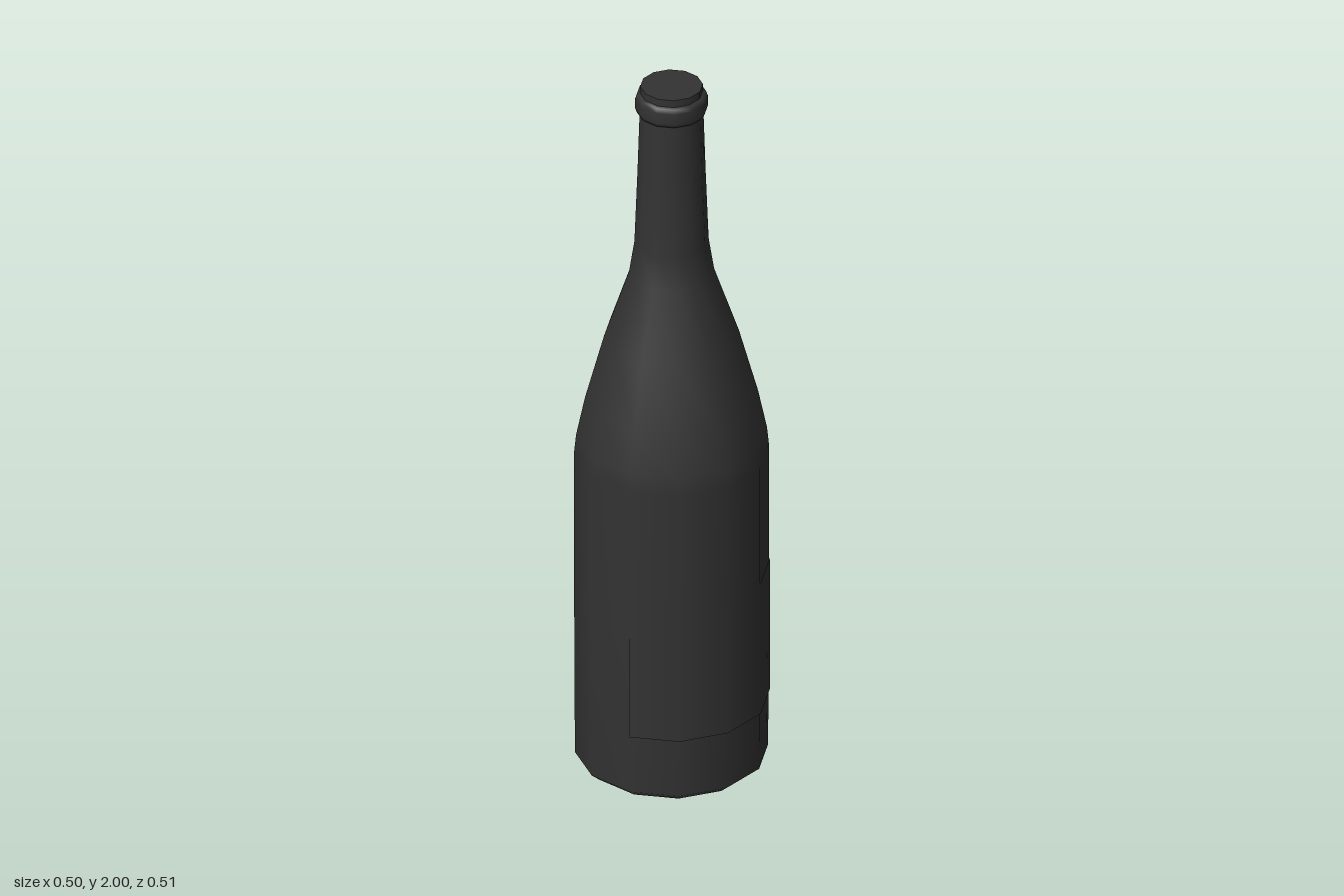
import * as THREE from 'three';

const SIDES = 12;
const glass = new THREE.MeshStandardMaterial({ color: 0x333333 });
const paper = new THREE.MeshStandardMaterial({ color: 0x333333, side: THREE.DoubleSide });

// Revolves a list of [radius, height] pairs around the y axis
function turned(name, profile, material = glass, segments = SIDES, start = 0, sweep = Math.PI * 2) {
  const points = profile.map(([r, y]) => new THREE.Vector2(r, y));
  const mesh = new THREE.Mesh(new THREE.LatheGeometry(points, segments, start, sweep), material);
  mesh.name = name;
  return mesh;
}

export function createModel() {
  const bottle = new THREE.Group();
  bottle.name = 'bottle';

  // Hollow punt underneath, straight body, sloping shoulder and tapered neck
  bottle.add(turned('body', [
    [0, 0.1], [0.07, 0.085], [0.14, 0.04], [0.19, 0.005], [0.225, 0.004], [0.25, 0.025],
    [0.252, 0.5], [0.252, 0.92], [0.247, 0.97], [0.224, 1.08], [0.175, 1.26],
    [0.11, 1.45], [0.096, 1.54], [0.088, 1.75], [0.082, 1.94],
  ]));

  // Rounded ring around the mouth
  bottle.add(turned('collar', [
    [0.08, 1.92], [0.09, 1.924], [0.094, 1.935], [0.094, 1.965], [0.09, 1.977], [0.08, 1.98],
  ]));

  // Flat stopper closing the mouth
  const stopper = new THREE.Mesh(new THREE.CylinderGeometry(0.081, 0.081, 0.06, SIDES), glass);
  stopper.name = 'stopper';
  stopper.position.y = 1.97;
  bottle.add(stopper);

  // Thin label wrapped around the front third
  bottle.add(turned('label', [[0.2545, 0.19], [0.2545, 0.58]], paper, 4, -Math.PI / 3, Math.PI * 2 / 3));

  return bottle;
}
